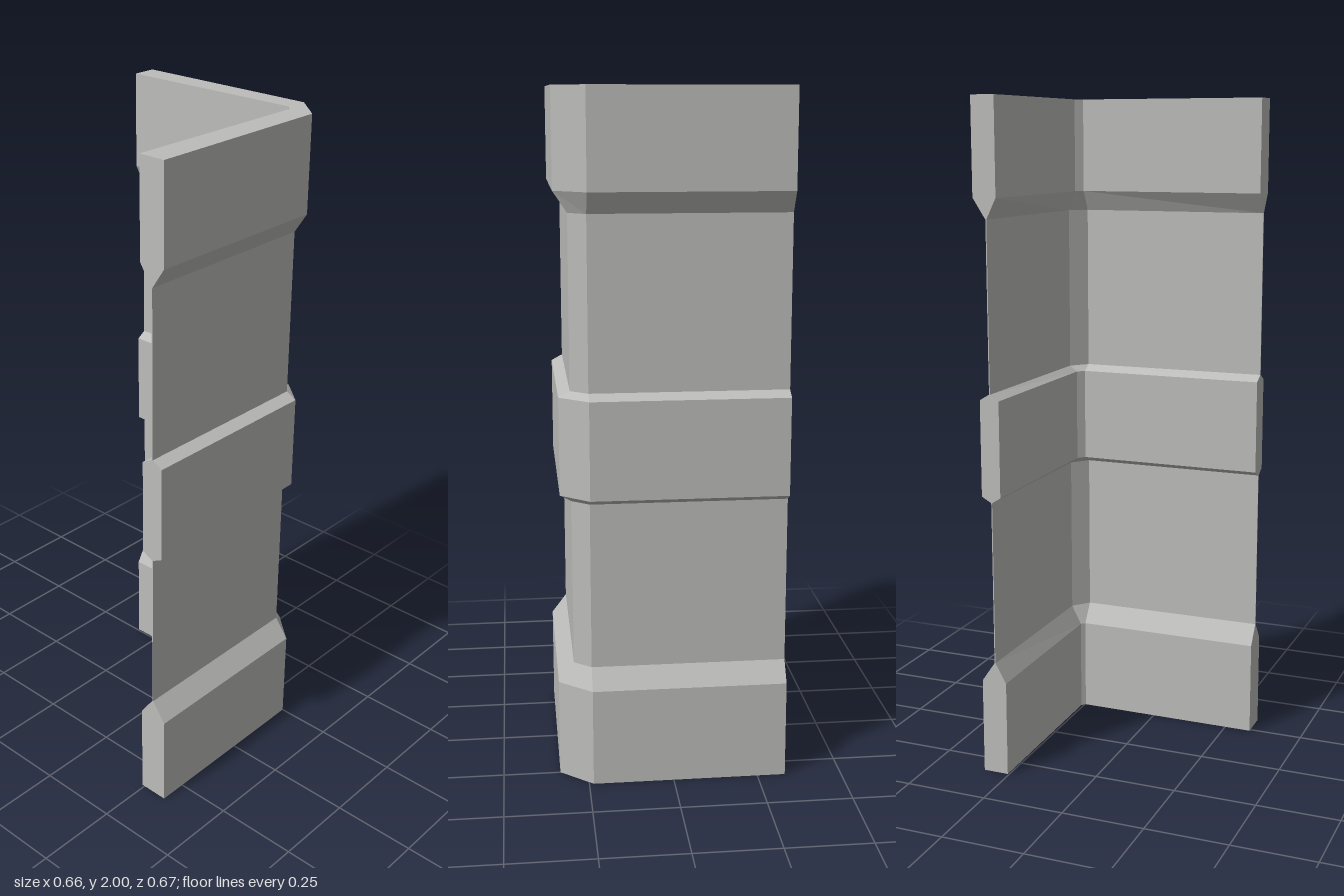
import * as THREE from 'three';

// Plan section of the L-shaped trim: outer path, then inner path back again.
function section([y, outX, outZ, inX, inZ, taper]) {
  return [
    [-0.333, -outZ], [0.237, -outZ], [outX, -0.25], [outX, 0.333],
    [inX, 0.333], [inX + taper, -0.247], [0.232, -inZ - taper], [-0.333, -inZ],
  ].map(([x, z]) => new THREE.Vector3(x, y, z));
}

// Skin a stack of sections and close its two ends; unshared corners keep facets flat.
function loft(rows) {
  const rings = rows.map(section);
  const pos = [];
  const quad = (a, b, c, d) => [a, b, c, a, c, d].forEach((p) => pos.push(p.x, p.y, p.z));
  for (let i = 0; i < rings.length - 1; i++) {
    const lo = rings[i], hi = rings[i + 1];
    for (let j = 0; j < 8; j++) {
      const k = (j + 1) % 8;
      quad(lo[j], hi[j], hi[k], lo[k]);
    }
  }
  const bottom = rings[0], top = rings[rings.length - 1];
  for (let j = 0; j < 3; j++) {
    quad(top[j], top[7 - j], top[6 - j], top[j + 1]);
    quad(bottom[j], bottom[j + 1], bottom[6 - j], bottom[7 - j]);
  }
  const geo = new THREE.BufferGeometry();
  geo.setAttribute('position', new THREE.Float32BufferAttribute(pos, 3));
  geo.computeVertexNormals();
  return geo;
}

export function createModel() {
  const group = new THREE.Group();
  group.name = 'cornerTrim';
  const grey = new THREE.MeshStandardMaterial({ color: 0xbcbcba });
  grey.name = 'paleGrey';

  // Half-profiles: outer x, outer z, inner x, inner z, inner corner taper
  const panel = [0.287, 0.292, 0.284, 0.289, 0];
  const base = [0.332, 0.333, 0.241, 0.255, 0.003];
  const band = [0.32, 0.322, 0.25, 0.262, 0.004];
  const cap = [0.327, 0.331, 0.245, 0.259, 0.008];

  // Thick base, thin panel, raised middle band, thin panel, thick cap
  const mesh = new THREE.Mesh(loft([
    [0, ...base], [0.29, ...base],
    [0.35, ...panel], [0.843, ...panel],
    [0.86, ...band], [1.146, ...band],
    [1.164, ...panel], [1.66, ...panel],
    [1.72, ...cap], [2, ...cap],
  ]), grey);
  mesh.name = 'cornerPost';
  group.add(mesh);
  return group;
}
